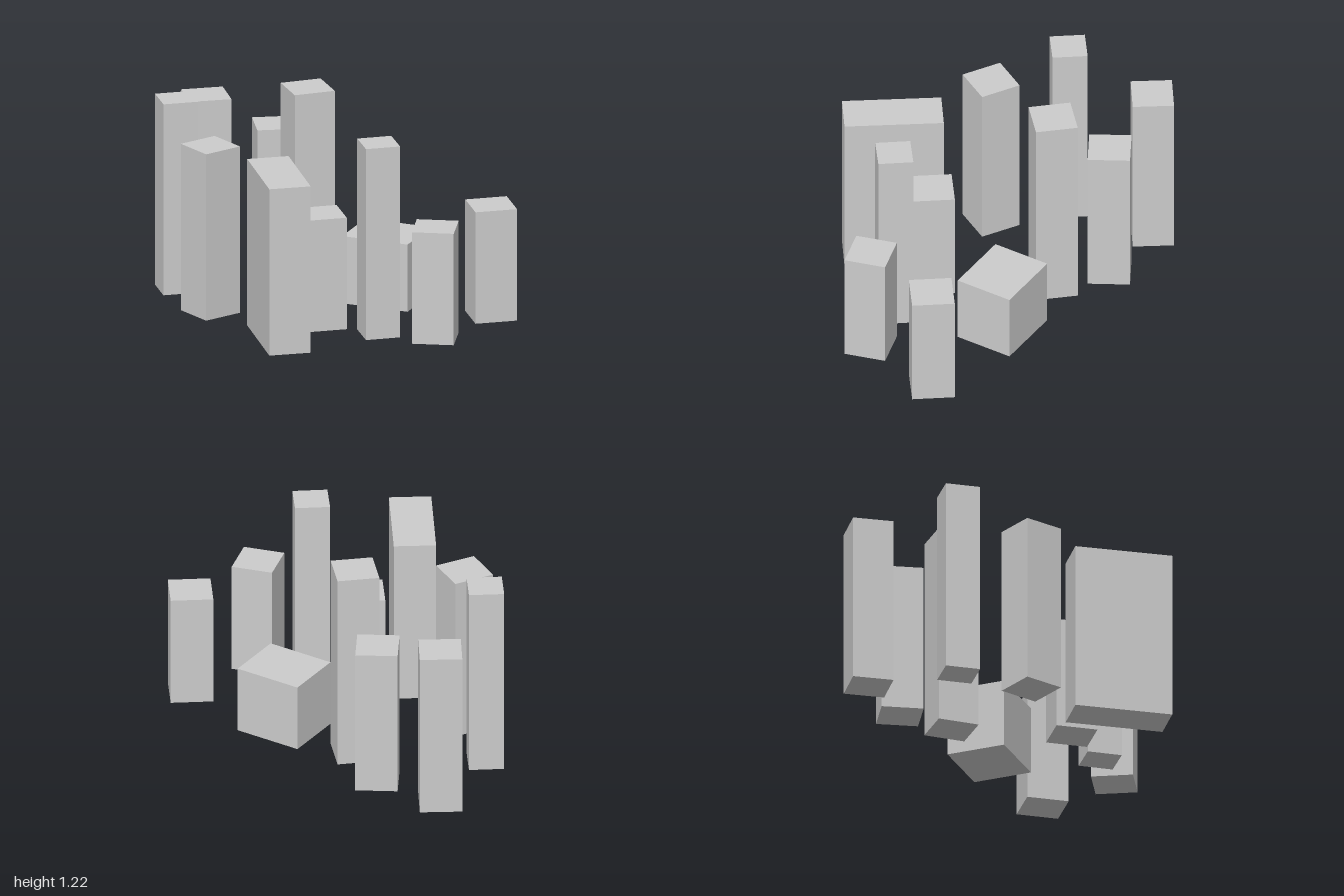
import * as THREE from 'three';

// Each block: name, centre x, centre z, width, depth, height, turn about y
const BLOCKS = [
  ['backTower', -0.543, -0.876, 0.247, 0.24, 1.015, -0.03],
  ['backInnerTower', -0.197, -0.6, 0.246, 0.246, 0.9, -0.117],
  ['slimSideTower', -0.837, -0.413, 0.205, 0.205, 1.165, 0],
  ['tallestTower', -0.09, -0.263, 0.246, 0.246, 1.22, 0.097],
  ['turnedSideTower', -0.748, 0.045, 0.245, 0.245, 1.015, 0.4],
  ['lowWideBlock', 0.3, 0.063, 0.412, 0.354, 0.41, -0.64],
  ['longSlab', -0.486, 0.637, 0.246, 0.577, 1.015, -0.02],
  ['middleBlock', -0.183, 0.433, 0.245, 0.245, 0.68, 0],
  ['slimFrontTower', 0.1, 0.676, 0.204, 0.204, 1.165, 0.01],
  ['frontBlock', 0.398, 0.837, 0.245, 0.245, 0.68, -0.363],
  ['cornerBlock', 0.812, 0.515, 0.248, 0.248, 0.68, 0],
];

export function createModel() {
  const group = new THREE.Group();
  group.name = 'cityBlocks';
  const material = new THREE.MeshStandardMaterial({ color: 0xcccccc, flatShading: true });

  // Plain blocks standing on the ground
  for (const [name, x, z, width, depth, height, turn] of BLOCKS) {
    const block = new THREE.Mesh(new THREE.BoxGeometry(width, height, depth), material);
    block.name = name;
    block.position.set(x, height / 2, z);
    block.rotation.y = turn;
    group.add(block);
  }
  return group;
}
